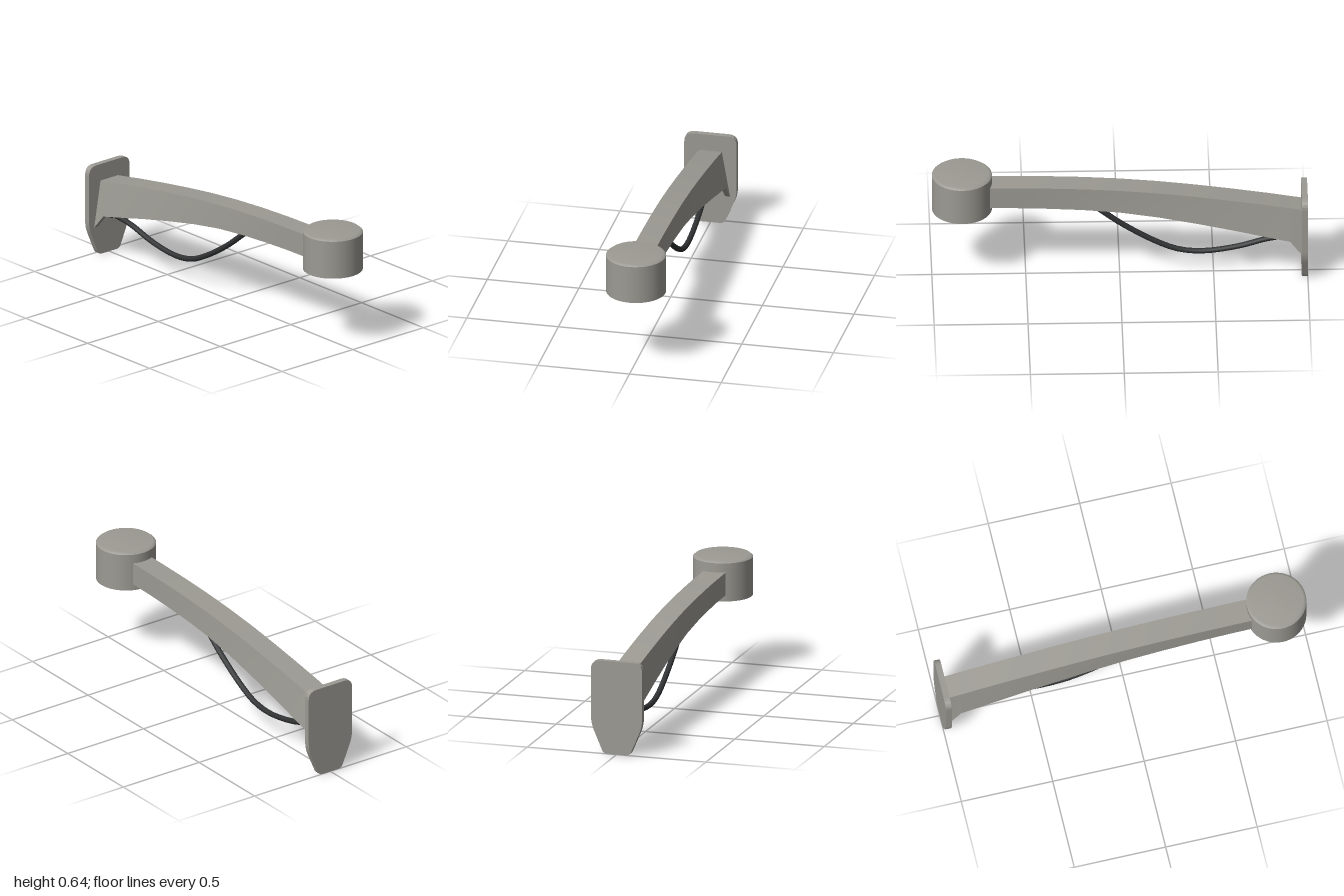
import * as THREE from 'three';

// Outline with each corner rounded by its own radius: [x, y, radius]
function roundedShape(corners) {
  const shape = new THREE.Shape();
  const n = corners.length;
  corners.forEach(([x, y, r], i) => {
    const c = new THREE.Vector2(x, y);
    const toward = (k) => {
      const p = corners[(i + k + n) % n];
      const d = new THREE.Vector2(p[0], p[1]).sub(c).normalize();
      return c.clone().addScaledVector(d, r);
    };
    const a = toward(-1), b = toward(1);
    if (i === 0) shape.moveTo(a.x, a.y);
    else shape.lineTo(a.x, a.y);
    shape.quadraticCurveTo(x, y, b.x, b.y);
  });
  shape.closePath();
  return shape;
}

// Skin between cross-sections: smooth along the length, sharp at the corners
function loft(sections) {
  const pos = [], index = [];
  const n = sections[0].length;
  for (let e = 0; e < n; e++) {
    sections.forEach((s, i) => {
      const base = pos.length / 3;
      pos.push(...s[e], ...s[(e + 1) % n]);
      if (i < sections.length - 1) {
        index.push(base, base + 2, base + 3, base, base + 3, base + 1);
      }
    });
  }
  const g = new THREE.BufferGeometry();
  g.setAttribute('position', new THREE.Float32BufferAttribute(pos, 3));
  g.setIndex(index);
  g.computeVertexNormals();
  return g;
}

// Inverted U channel section with flared side walls
function channel([z, top, bottom, half]) {
  const inner = half - 0.027, ceil = top - 0.025;
  return [
    [-half, bottom, z], [-inner, bottom, z], [-0.04, ceil, z], [0.04, ceil, z],
    [inner, bottom, z], [half, bottom, z], [0.062, top, z], [-0.062, top, z],
  ];
}

export function createModel() {
  const model = new THREE.Group();
  const grey = new THREE.MeshStandardMaterial({ color: 0x9c9a93 });
  grey.name = 'warm grey';
  const black = new THREE.MeshStandardMaterial({ color: 0x303233 });
  black.name = 'cable black';

  const add = (name, geometry, material, x = 0, y = 0, z = 0) => {
    const mesh = new THREE.Mesh(geometry, material);
    mesh.name = name;
    mesh.position.set(x, y, z);
    model.add(mesh);
    return mesh;
  };

  // Mounting plate, tapered at the bottom
  const outline = roundedShape([
    [-0.073, 0.002, 0.022], [0.073, 0.002, 0.022], [0.143, 0.165, 0.04],
    [0.143, 0.513, 0.05], [-0.143, 0.513, 0.05], [-0.143, 0.165, 0.04],
  ]);
  add('mountingPlate', new THREE.ExtrudeGeometry(outline, {
    depth: 0.032, bevelEnabled: false, curveSegments: 5,
  }), grey, 0, 0, -1);

  // Curved arm: [z, top, bottom, half width at the bottom]
  const stations = [
    [0.73, 0.58, 0.456, 0.062], [0.55, 0.578, 0.454, 0.063],
    [0.4, 0.575, 0.45, 0.065], [0.2, 0.567, 0.441, 0.069],
    [0, 0.554, 0.424, 0.073], [-0.2, 0.535, 0.394, 0.078],
    [-0.4, 0.51, 0.355, 0.083], [-0.6, 0.481, 0.312, 0.089],
    [-0.8, 0.449, 0.265, 0.095], [-0.905, 0.43, 0.241, 0.098],
  ];
  add('arm', loft(stations.map(channel)), grey);

  // Foot of the arm, flaring down against the plate
  const foot = [stations[stations.length - 1], [-0.97, 0.419, 0.16, 0.107]];
  add('armFoot', loft(foot.map(channel)), grey);

  // Cable bridge between the channel walls
  add('cableBridge', new THREE.BoxGeometry(0.104, 0.016, 0.08), grey, 0, 0.456, 0.23);

  // Round head with a chamfered top
  add('head', new THREE.CylinderGeometry(0.16, 0.16, 0.21, 48), grey, 0, 0.525, 0.84);
  add('headCap', new THREE.LatheGeometry([
    new THREE.Vector2(0.16, 0.63), new THREE.Vector2(0.145, 0.642), new THREE.Vector2(0, 0.643),
  ], 48), grey, 0, 0, 0.84);

  // Hanging cable, running inside the channel to the head
  const path = [
    [0.5, 0.72], [0.5, 0.4], [0.484, 0.25], [0.435, 0.155], [0.305, -0.016],
    [0.197, -0.19], [0.145, -0.31], [0.13, -0.44], [0.157, -0.63],
    [0.203, -0.79], [0.22, -0.92], [0.221, -0.97],
  ].map(([y, z]) => new THREE.Vector3(0, y, z));
  add('cable', new THREE.TubeGeometry(new THREE.CatmullRomCurve3(path), 40, 0.015, 10), black);

  // Collar where the cable meets the plate
  const collar = new THREE.CylinderGeometry(0.021, 0.021, 0.03, 12).rotateX(Math.PI / 2);
  add('cableCollar', collar, black, 0, 0.22, -0.955);

  return model;
}
